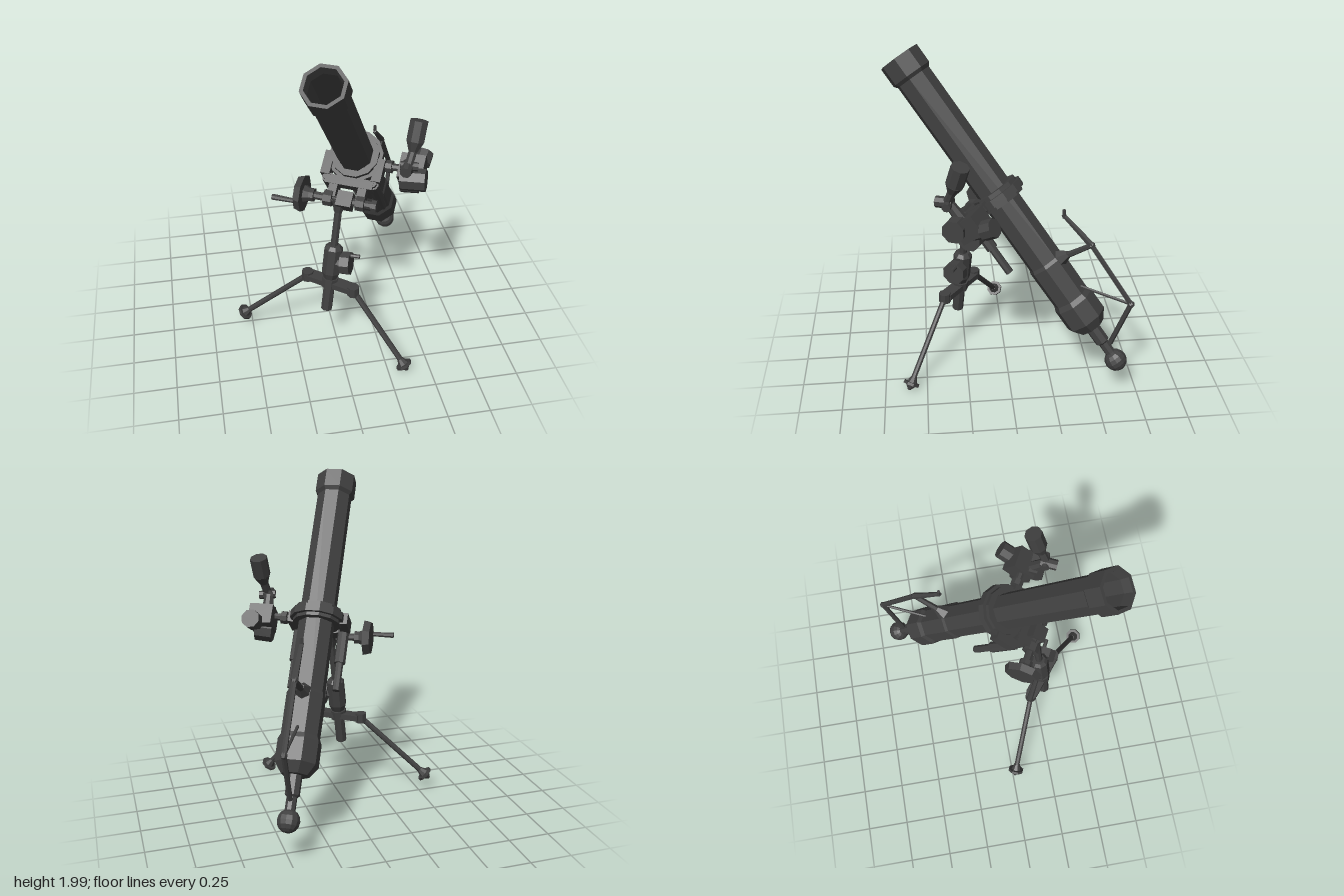
import * as THREE from 'three';

const mat = new THREE.MeshStandardMaterial({ color: 0x404040, flatShading: true });
const V = (p) => new THREE.Vector3(...p);
const UP = new THREE.Vector3(0, 1, 0);

function add(parent, name, geo, pos = [0, 0, 0]) {
  const m = new THREE.Mesh(geo, mat);
  m.name = name;
  m.position.set(...pos);
  parent.add(m);
  return m;
}

// Tapered rod from a (radius ra) to b (radius rb)
function rod(parent, name, a, b, ra, rb = ra, sides = 8) {
  const dir = V(b).sub(V(a));
  const m = add(parent, name, new THREE.CylinderGeometry(rb, ra, dir.length(), sides));
  m.position.copy(V(a).addScaledVector(dir, 0.5));
  m.quaternion.setFromUnitVectors(UP, dir.normalize());
  return m;
}

function lathe(parent, name, pts, sides = 8) {
  const profile = pts.map(([r, y]) => new THREE.Vector2(r, y));
  return add(parent, name, new THREE.LatheGeometry(profile, sides, Math.PI / sides));
}

const box = (parent, name, pos, size) => add(parent, name, new THREE.BoxGeometry(...size), pos);

export function createModel() {
  const root = new THREE.Group();
  root.name = 'mortar';

  // Tilted frame: y runs along the bore, x is level, z points below the barrel
  const tube = new THREE.Group();
  tube.name = 'barrelAssembly';
  const d = V([-0.64, 1.665, 1.173]).normalize();
  const h = new THREE.Vector3(d.z, 0, -d.x).normalize();
  const n = new THREE.Vector3().crossVectors(h, d);
  tube.quaternion.setFromRotationMatrix(new THREE.Matrix4().makeBasis(h, d, n));
  tube.position.set(0.508, 0.26, -0.607);
  root.add(tube);

  // Barrel with breech, muzzle collar and open bore
  lathe(tube, 'barrel', [
    [0, 0.25], [0.08, 0.25], [0.125, 0.31], [0.125, 0.44], [0.112, 0.47], [0.114, 0.71],
    [0.106, 0.73], [0.106, 2.0], [0.123, 2.02], [0.123, 2.135], [0.102, 2.135], [0.095, 2.08], [0.095, 0.6], [0, 0.6],
  ]);
  lathe(tube, 'breechNeck', [[0.03, 0.03], [0.03, 0.13], [0.042, 0.14], [0.042, 0.27]]);
  add(tube, 'baseBall', new THREE.SphereGeometry(0.065, 12, 8));

  // Clamp ring
  lathe(tube, 'clampRing', [
    [0.1, 1.15], [0.14, 1.15], [0.14, 1.17], [0.16, 1.17], [0.16, 1.215], [0.14, 1.215], [0.14, 1.24], [0.1, 1.24],
  ], 12);

  // Twin recoil buffers with their lugs
  for (const s of [-1, 1]) {
    rod(tube, 'bufferRod', [s * 0.135, 0.8, 0.15], [s * 0.135, 1.22, 0.15], 0.023);
    rod(tube, 'bufferSleeve', [s * 0.135, 0.97, 0.15], [s * 0.135, 1.2, 0.15], 0.034);
    box(tube, 'clampLug', [s * 0.15, 1.195, 0.07], [0.055, 0.07, 0.14]);
    box(tube, 'yokeArm', [s * 0.085, 1.19, 0.2], [0.05, 0.06, 0.13]);
  }
  box(tube, 'yoke', [0, 1.19, 0.165], [0.28, 0.065, 0.05]);

  // Traversing screw with collars
  rod(tube, 'traverseScrew', [-0.27, 1.19, 0.27], [0.185, 1.19, 0.27], 0.024);
  for (const [x, w, r] of [[-0.2, 0.03, 0.04], [-0.1, 0.05, 0.048], [0.09, 0.05, 0.045], [0.17, 0.03, 0.035]])
    rod(tube, 'traverseCollar', [x - w / 2, 1.19, 0.27], [x + w / 2, 1.19, 0.27], r);
  box(tube, 'traverseNut', [0, 1.19, 0.27], [0.09, 0.085, 0.09]);

  // Traversing handwheel and its handle
  rod(tube, 'handwheel', [-0.245, 1.19, 0.27], [-0.285, 1.19, 0.27], 0.112, 0.1);
  rod(tube, 'handwheelHub', [-0.2, 1.19, 0.27], [-0.25, 1.19, 0.27], 0.035, 0.055);
  rod(tube, 'handwheelHandle', [-0.28, 1.245, 0.34], [-0.41, 1.245, 0.34], 0.014, 0.018);

  // Carrying frame on the upper side of the barrel
  const frame = [[0, 0.11, -0.035], [0, 0.28, -0.307], [0, 0.69, -0.318], [0, 0.92, -0.28]];
  rod(tube, 'frameLower', frame[0], frame[1], 0.015, 0.015, 6);
  rod(tube, 'frameMiddle', frame[1], frame[2], 0.016, 0.016, 6);
  rod(tube, 'frameUpper', frame[2], frame[3], 0.02, 0.012, 6);
  for (const p of frame.slice(1, 3)) add(tube, 'frameJoint', new THREE.SphereGeometry(0.021, 6, 4), p);
  rod(tube, 'frameTip', [0, 0.9, -0.275], [0, 0.94, -0.305], 0.012, 0.01, 6);
  rod(tube, 'frameBrace', frame[1], [0, 0.5, -0.1], 0.009, 0.009, 6);
  rod(tube, 'framePost', frame[2], [0, 0.705, -0.1], 0.015, 0.02, 6);
  rod(tube, 'framePostFoot', [0, 0.705, -0.16], [0, 0.705, -0.1], 0.02, 0.05, 6);

  // Sight: bracket, body, drum, eyepiece and raised head
  const sight = new THREE.Group();
  sight.name = 'sight';
  root.add(sight);
  rod(sight, 'sightBracket', [0.25, 1.17, 0.12], [0.42, 1.18, 0.22], 0.022);
  rod(sight, 'sightBracketCollar', [0.305, 1.173, 0.152], [0.335, 1.175, 0.17], 0.038);
  const body = box(sight, 'sightBody', [0.44, 1.17, 0.21], [0.14, 0.12, 0.15]);
  body.quaternion.copy(tube.quaternion);
  rod(sight, 'elevationDrum', [0.36, 1.15, 0.26], [0.49, 1.16, 0.32], 0.066);
  rod(sight, 'lowerDrum', [0.385, 1.09, 0.19], [0.475, 1.1, 0.235], 0.068);
  rod(sight, 'eyepieceTube', [0.46, 1.13, 0.22], [0.525, 1.19, 0.125], 0.042);
  rod(sight, 'eyepiece', [0.505, 1.17, 0.155], [0.54, 1.205, 0.1], 0.055);
  rod(sight, 'sightPost', [0.4, 1.19, 0.27], [0.37, 1.28, 0.335], 0.035, 0.028);
  rod(sight, 'sightKnob', [0.385, 1.28, 0.31], [0.345, 1.275, 0.4], 0.032);
  rod(sight, 'sightCrossKnob', [0.335, 1.28, 0.325], [0.43, 1.275, 0.35], 0.025);
  rod(sight, 'headNeck', [0.372, 1.27, 0.345], [0.41, 1.37, 0.31], 0.025);
  rod(sight, 'headTaper', [0.405, 1.355, 0.314], [0.42, 1.41, 0.298], 0.026, 0.052);
  rod(sight, 'head', [0.42, 1.41, 0.298], [0.445, 1.52, 0.268], 0.052);

  // Elevating column and gear housing
  const top = V([0.02, 1.03, 0.22]), bottom = V([-0.07, 0.29, 0.29]);
  const at = (y) => top.clone().lerp(bottom, (top.y - y) / (top.y - bottom.y)).toArray();
  rod(root, 'elevatingScrew', at(0.7), at(1.03), 0.022);
  rod(root, 'columnHead', at(0.95), at(1.03), 0.026, 0.045);
  rod(root, 'gearHousing', at(0.55), at(0.71), 0.056);
  rod(root, 'gearHousingTop', at(0.71), at(0.73), 0.056, 0.038);
  rod(root, 'gearHousingTaper', at(0.5), at(0.55), 0.036, 0.056);
  rod(root, 'columnTube', at(0.29), at(0.5), 0.034);

  // Elevating crank
  rod(root, 'crankShaft', [-0.03, 0.62, 0.26], [0.03, 0.625, 0.3], 0.04);
  rod(root, 'crankDisc', [0.02, 0.625, 0.29], [0.07, 0.63, 0.315], 0.07);
  rod(root, 'crankHandle', [0.05, 0.675, 0.29], [0.12, 0.68, 0.325], 0.013);

  // Bipod crossbar
  const bar = box(root, 'crossbar', [-0.04, 0.475, 0.275], [0.29, 0.035, 0.075]);
  bar.rotation.y = -Math.atan2(0.19, 0.24);
  rod(root, 'crossbarCollar', at(0.45), at(0.51), 0.05);

  // Legs with disc feet and spikes
  const legs = [
    [[-0.165, 0.475, 0.18], [-0.545, 0.1, 0.02]],
    [[0.075, 0.47, 0.37], [0.345, 0.04, 0.595]],
  ];
  for (const [a, b] of legs) {
    const dir = V(b).sub(V(a)).normalize();
    const along = (t) => V(b).addScaledVector(dir, t).toArray();
    rod(root, 'legHinge', [a[0], a[1] - 0.03, a[2]], [a[0], a[1] + 0.03, a[2]], 0.036);
    rod(root, 'leg', a, b, 0.017);
    rod(root, 'footSocket', along(-0.045), along(-0.005), 0.018, 0.034);
    rod(root, 'footDisc', along(-0.008), along(0.008), 0.05);
    rod(root, 'footSpike', along(0.008), along(0.04), 0.034, 0.008);
  }
  return root;
}
